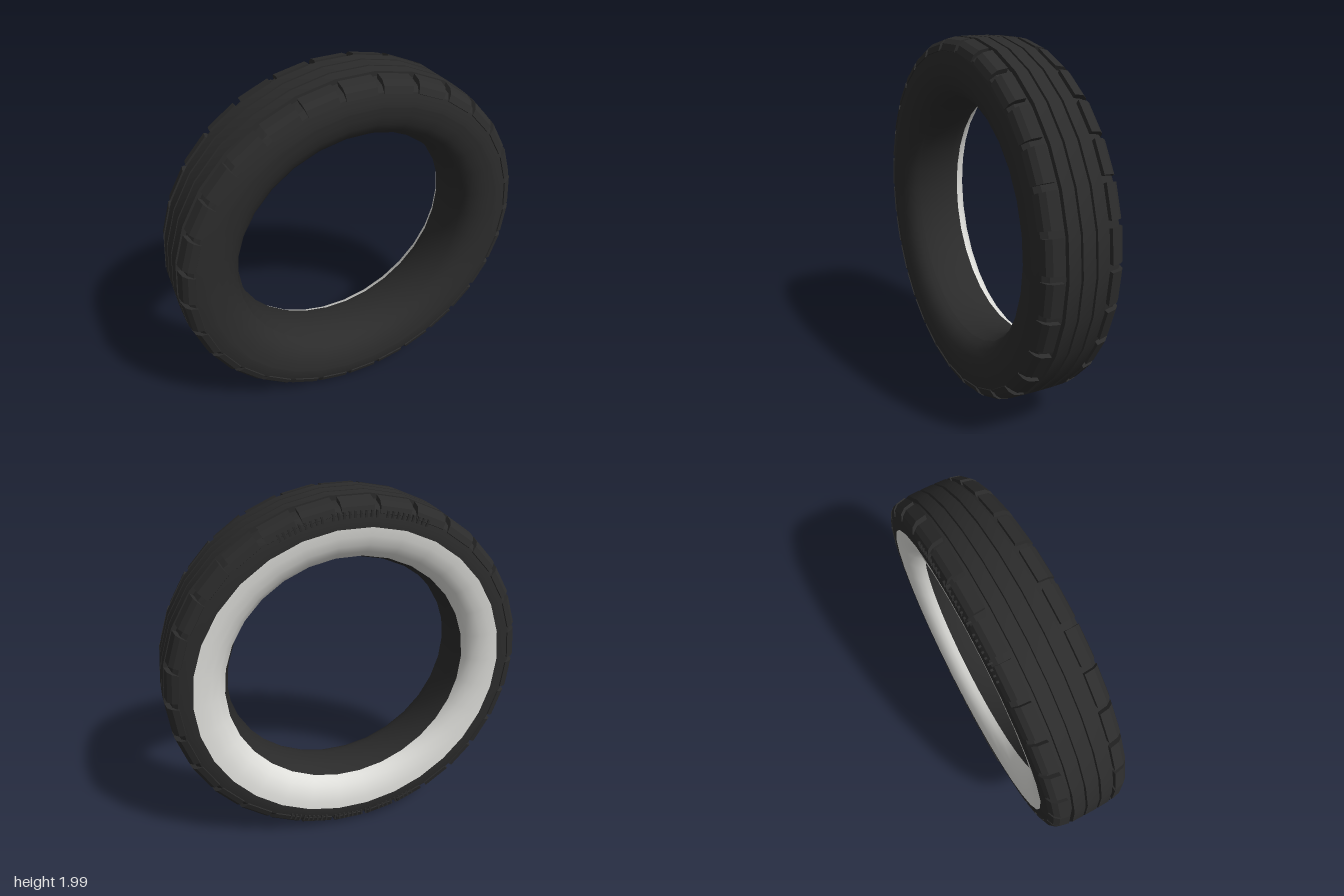
import * as THREE from 'three';
import { toCreasedNormals } from 'three/addons/utils/BufferGeometryUtils.js';
import { ConvexGeometry } from 'three/addons/geometries/ConvexGeometry.js';

const SIDES = 30;
const STEP = (Math.PI * 2) / SIDES;

// Spin a profile of [z, radius] points around the z axis
function ring(name, profile, material) {
  const points = profile.map(([z, r]) => new THREE.Vector2(r, z));
  const lathe = new THREE.LatheGeometry(points, SIDES, Math.PI / 2);
  lathe.rotateX(Math.PI / 2);
  const mesh = new THREE.Mesh(toCreasedNormals(lathe, 0.5), material);
  mesh.name = name;
  return mesh;
}

const mirrorZ = (profile) => profile.map(([z, r]) => [-z, r]).reverse();

export function createModel() {
  const rubber = new THREE.MeshStandardMaterial({ color: 0x2b2b2b });
  rubber.name = 'blackRubber';
  const white = new THREE.MeshStandardMaterial({ color: 0xdededa });
  white.name = 'whiteSidewall';

  const group = new THREE.Group();
  group.name = 'tire';
  const wheel = new THREE.Group();
  wheel.name = 'tireBody';
  wheel.position.y = 1;
  group.add(wheel);

  // Tread with four grooves, and the sloping shoulders (front half, mirrored)
  const treadHalf = [
    [0.034, 1], [0.034, 0.978], [0.046, 0.978], [0.046, 1],
    [0.108, 0.998], [0.108, 0.972], [0.13, 0.972],
    [0.185, 0.96], [0.212, 0.935], [0.225, 0.89], [0.225, 0.86],
  ];
  wheel.add(ring('tread', [...mirrorZ(treadHalf), ...treadHalf], rubber));

  // Flared sidewalls: black at the front, white at the back
  const sidewall = [
    [0.225, 0.86], [0.221, 0.815], [0.208, 0.765],
    [0.185, 0.724], [0.158, 0.698], [0.13, 0.683],
  ];
  wheel.add(ring('frontSidewall', sidewall, rubber));
  wheel.add(ring('whitewall', mirrorZ(sidewall), white));

  // Inner bead
  wheel.add(ring('innerBead', [
    [0.13, 0.683], [0.065, 0.659], [-0.065, 0.659], [-0.13, 0.683],
  ], rubber));

  // Shoulder blocks, one on each facet of both shoulders
  const section = [
    [0.13, 0.95], [0.13, 0.997], [0.182, 0.986], [0.207, 0.964], [0.22, 0.93], [0.2, 0.92],
  ];
  const start = STEP * 0.17;
  const shrink = Math.cos(STEP / 2) / Math.cos(STEP / 2 - start);
  for (const side of [1, -1]) {
    const corners = section.flatMap(([z, r]) => [[start, r * shrink], [STEP, r]].map(
      ([a, d]) => new THREE.Vector3(Math.cos(a) * d, Math.sin(a) * d, z * side)));
    const geometry = new ConvexGeometry(corners);
    for (let i = 0; i < SIDES; i++) {
      const block = new THREE.Mesh(geometry, rubber);
      block.name = 'shoulderBlock';
      block.rotation.z = i * STEP;
      wheel.add(block);
    }
  }

  // Fine raised ribs on the back shoulder, at the top and bottom
  const ribGeometry = new THREE.BoxGeometry(0.035, 0.01, 0.024);
  for (const middle of [Math.PI / 2, -Math.PI / 2]) {
    for (let i = -14; i <= 14; i++) {
      if (Math.abs(i) === 5) continue;
      const a = middle + i * 0.03;
      const rib = new THREE.Mesh(ribGeometry, rubber);
      rib.name = 'sidewallRib';
      rib.position.set(Math.cos(a) * 0.925, Math.sin(a) * 0.925, -0.214);
      rib.rotation.z = a;
      wheel.add(rib);
    }
  }
  return group;
}
